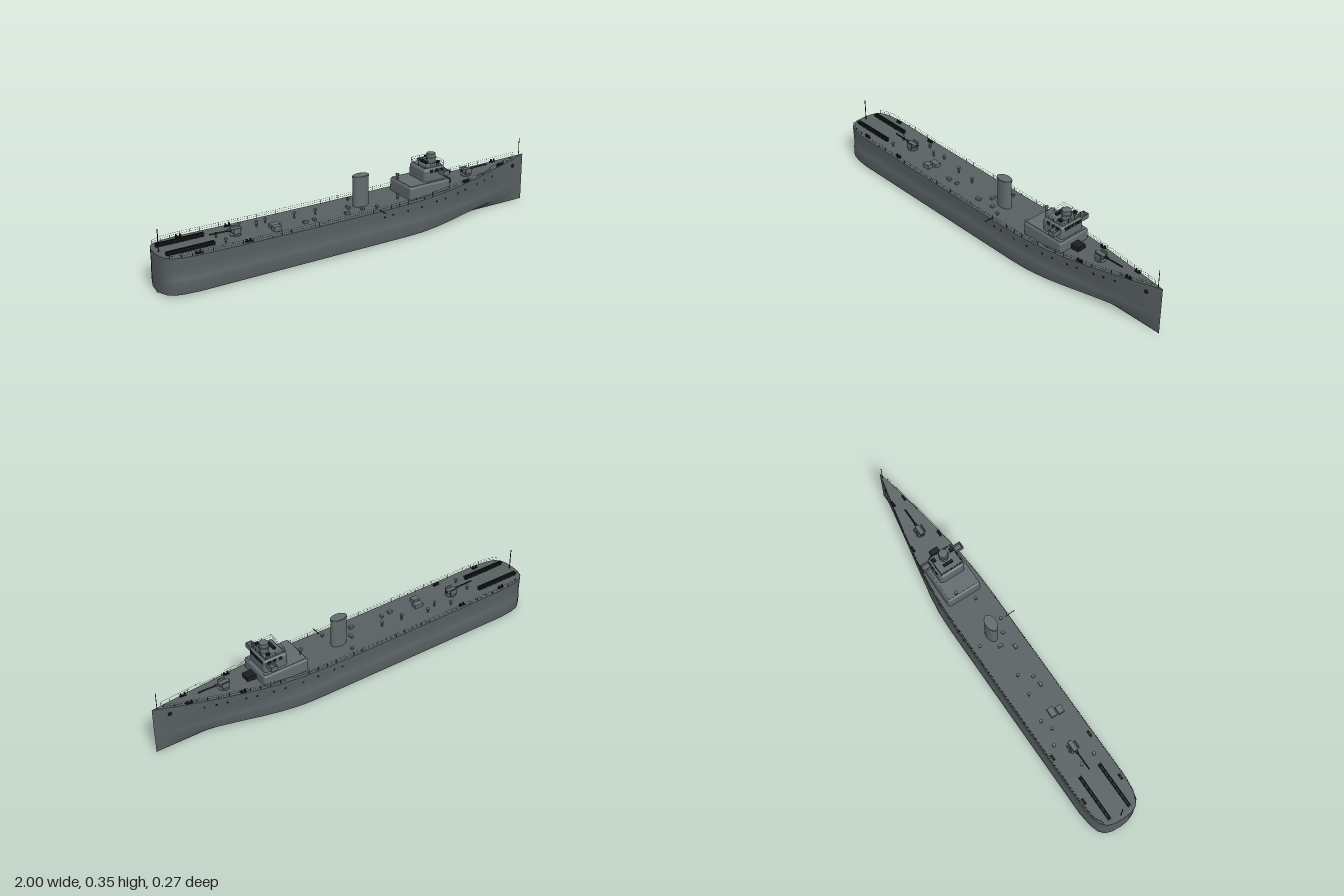
import * as THREE from 'three';
import { toCreasedNormals } from 'three/addons/utils/BufferGeometryUtils.js';
import { RoundedBoxGeometry } from 'three/addons/geometries/RoundedBoxGeometry.js';

const mat = (name, color) => Object.assign(new THREE.MeshStandardMaterial({ color }), { name });
const V = (x, y, z) => new THREE.Vector3(x, y, z);

// Linear lookup in a list of [x, value] pairs
function lookup(table, x) {
  for (let i = 1; i < table.length; i++) {
    const [x0, a] = table[i - 1], [x1, b] = table[i];
    if (x <= x1) return a + (b - a) * (x - x0) / (x1 - x0);
  }
  return table[table.length - 1][1];
}
const BEAM = [[-1, 0], [-0.997, 0.045], [-0.985, 0.078], [-0.96, 0.1], [-0.92, 0.112], [-0.85, 0.12], [0.2, 0.121],
  [0.32, 0.118], [0.42, 0.11], [0.52, 0.097], [0.62, 0.08], [0.72, 0.061], [0.82, 0.041], [0.92, 0.019], [1, 0]];
const SHEER = [[-1, 0.187], [-0.6, 0.18], [0, 0.175], [0.3, 0.179], [0.5, 0.189], [0.7, 0.206], [0.85, 0.222], [1, 0.24]];
const beam = x => lookup(BEAM, x);
const deckY = x => lookup(SHEER, x);

// Half section of the hull at x, from keel to deck edge, as [halfWidth, y]
function section(x) {
  const t = THREE.MathUtils.smoothstep(x, 0.25, 1), w = beam(x), d = deckY(x);
  const low = 1 - 0.45 * t, mid = 1 - 0.25 * t;
  return [[0, 0.002], [0.965 * w * low, 0.014 + 0.03 * t], [w * low, 0.03 + 0.025 * t], [w * mid, 0.072],
    [0.985 * w * mid, 0.085], [0.955 * w * mid, 0.096], [0.965 * w * (1 - 0.12 * t), 0.135], [0.985 * w, d]];
}
function hullHalfWidth(x, y) {
  return lookup(section(x).map(([w, h]) => [h, w]), y);
}
function hullGeometry() {
  const xs = BEAM.map(b => b[0]);
  for (let x = -0.7; x < 0.2; x += 0.15) xs.push(x);
  for (let x = 0.25; x < 1; x += 0.05) xs.push(x + 0.003);
  xs.sort((a, b) => a - b);
  const pos = [], idx = [];
  let n = 0;
  xs.forEach(x => {
    const half = section(x);
    const loop = [...half.slice(1).reverse().map(([w, y]) => [-w, y]), ...half];
    n = loop.length;
    loop.forEach(([z, y]) => pos.push(x, y, z));
  });
  for (let i = 0; i < xs.length - 1; i++) for (let j = 0; j < n; j++) {
    const a = i * n + j, d = i * n + (j + 1) % n, b = a + n, c = d + n;
    idx.push(a, b, c, a, c, d);
  }
  const g = new THREE.BufferGeometry();
  g.setAttribute('position', new THREE.Float32BufferAttribute(pos, 3));
  g.setIndex(idx);
  return toCreasedNormals(g, 0.6);
}

export function createModel() {
  const hullGray = mat('hull gray', 0x586062);
  const houseGray = mat('superstructure gray', 0x626b6e);
  const black = mat('dark fittings', 0x1b1e1f);
  const ship = new THREE.Group();
  ship.name = 'warship';
  ship.position.z = -0.016;

  const add = (name, geo, m, x = 0, y = 0, z = 0, parent = ship) => {
    const mesh = new THREE.Mesh(geo, m);
    mesh.name = name;
    mesh.position.set(x, y, z);
    parent.add(mesh);
    return mesh;
  };
  const box = (name, m, w, h, d, x, y, z, p) => add(name, new THREE.BoxGeometry(w, h, d), m, x, y + h / 2, z, p);
  const cyl = (name, m, r, h, x, y, z, p, seg = 16) => add(name, new THREE.CylinderGeometry(r, r, h, seg), m, x, y + h / 2, z, p);
  const rod = (name, m, a, b, r, p = ship, seg = 5) => {
    const dir = b.clone().sub(a), c = a.clone().add(b).multiplyScalar(0.5);
    const mesh = add(name, new THREE.CylinderGeometry(r, r, dir.length(), seg), m, c.x, c.y, c.z, p);
    mesh.quaternion.setFromUnitVectors(V(0, 1, 0), dir.normalize());
    return mesh;
  };
  // Posts at each point, with rails strung between them
  const railing = (name, pts, h, r, levels = [0.5, 1]) => {
    const g = new THREE.Group();
    g.name = name;
    ship.add(g);
    pts.forEach((p, i) => {
      rod('railPost', black, p, p.clone().setY(p.y + h), r, g, 4);
      if (i) levels.forEach(l => rod('rail', black, pts[i - 1].clone().setY(pts[i - 1].y + h * l), p.clone().setY(p.y + h * l), r * 0.6, g, 4));
    });
  };

  add('hull', hullGeometry(), hullGray);

  // Deck edge railings, portholes, hawse holes and bollards on both sides
  for (const s of [1, -1]) {
    const pts = [];
    for (let x = -0.97; x < 0.97; x += 0.048) pts.push(V(x, deckY(x), s * beam(x) * 0.96));
    railing(s > 0 ? 'leftRailing' : 'rightRailing', pts, 0.02, 0.0007);
    for (const x of [0.1, 0.145, 0.23, 0.31, 0.4, 0.455, 0.535, 0.585, 0.67, 0.72, 0.775]) {
      const y = deckY(x) - 0.034, w = hullHalfWidth(x, y);
      rod('porthole', black, V(x, y, s * (w - 0.004)), V(x, y, s * (w + 0.001)), 0.0055, ship, 10);
    }
    const hw = hullHalfWidth(0.925, 0.195);
    rod('hawseHole', black, V(0.925, 0.195, s * (hw - 0.006)), V(0.925, 0.195, s * (hw + 0.003)), 0.01, ship, 12);
    for (const [x, z] of [[-0.84, 0.1], [-0.6, 0.1], [0.595, 0.074], [0.835, 0.03]]) {
      box('bollardBase', black, 0.03, 0.004, 0.011, x, deckY(x), s * z);
      for (const o of [-0.009, 0.009]) cyl('bollard', black, 0.0045, 0.014, x + o, deckY(x), s * z, ship, 8);
    }
    // Stern launching racks
    for (const o of [-0.006, 0.006]) box('rackRail', black, 0.23, 0.008, 0.003, -0.855, 0.194, s * 0.053 + o);
    box('rackBed', black, 0.23, 0.005, 0.012, -0.855, 0.185, s * 0.053);
    for (let x = -0.96; x < -0.74; x += 0.03) box('rackFrame', black, 0.003, 0.018, 0.015, x, 0.184, s * 0.053);
  }

  // Funnel with a dark mouth
  const funnel = new THREE.Group();
  funnel.name = 'funnel';
  funnel.position.set(0.042, 0, -0.001);
  funnel.scale.z = 0.62;
  ship.add(funnel);
  cyl('funnelCasing', houseGray, 0.04, 0.155, 0, 0.17, 0, funnel, 32);
  cyl('funnelRim', houseGray, 0.043, 0.007, 0, 0.316, 0, funnel, 32);
  cyl('funnelMouth', black, 0.038, 0.002, 0, 0.322, 0, funnel, 32);

  // Deckhouse, bridge, wings and windows
  add('deckhouse', new RoundedBoxGeometry(0.232, 0.09, 0.176, 3, 0.012), houseGray, 0.377, 0.196, 0);
  box('deckhouseRoof', houseGray, 0.215, 0.003, 0.16, 0.377, 0.2395, 0);
  add('bridge', new RoundedBoxGeometry(0.122, 0.08, 0.134, 3, 0.016), houseGray, 0.417, 0.265, 0);
  box('bridgeRoof', houseGray, 0.1, 0.003, 0.11, 0.417, 0.304, 0);
  for (let i = -2; i <= 2; i++) box('frontWindow', black, 0.003, 0.015, 0.017, 0.4778, 0.282, i * 0.0205);
  for (const s of [1, -1]) {
    for (const x of [0.395, 0.425, 0.452]) box('sideWindow', black, 0.018, 0.015, 0.003, x, 0.282, s * 0.0665);
    box('bridgeWingFloor', houseGray, 0.032, 0.003, 0.046, 0.452, 0.272, s * 0.086);
    for (const x of [0.437, 0.467]) box('bridgeWingSide', houseGray, 0.003, 0.023, 0.046, x, 0.273, s * 0.086);
    box('bridgeWingEnd', houseGray, 0.032, 0.023, 0.003, 0.452, 0.273, s * 0.1075);
    cyl('lookoutPedestal', houseGray, 0.004, 0.017, 0.445, 0.305, s * 0.042, ship, 8);
    box('lookoutSight', black, 0.018, 0.009, 0.014, 0.445, 0.319, s * 0.046);
  }
  railing('bridgeRailing', [[0.365, 0.058], [0.415, 0.058], [0.468, 0.058], [0.468, 0.02], [0.468, -0.02], [0.468, -0.058],
    [0.415, -0.058], [0.365, -0.058], [0.365, 0], [0.365, 0.058]].map(([x, z]) => V(x, 0.305, z)), 0.024, 0.0009);

  // Director tower on the bridge roof
  cyl('directorTower', houseGray, 0.021, 0.05, 0.438, 0.305, 0.001, ship, 24);
  cyl('directorCollar', houseGray, 0.025, 0.006, 0.438, 0.33, 0.001, ship, 24);
  box('directorSight', black, 0.012, 0.01, 0.05, 0.398, 0.315, 0);

  // Ready-use platform in front of the deckhouse
  box('forwardPlatform', black, 0.045, 0.025, 0.045, 0.517, 0.188, 0.003);

  // Deck guns, the aft one pointing astern
  for (const [x, dir, name] of [[0.65, 1, 'forwardGun'], [-0.612, -1, 'aftGun']]) {
    const g = new THREE.Group();
    g.name = name;
    g.position.set(x, deckY(x) - 0.002, 0);
    if (dir < 0) g.rotation.y = Math.PI;
    ship.add(g);
    cyl('gunBase', houseGray, 0.026, 0.007, 0, 0, 0, g, 20);
    cyl('gunPedestal', houseGray, 0.012, 0.02, 0, 0.005, 0, g, 12);
    box('gunCradle', houseGray, 0.05, 0.016, 0.02, -0.002, 0.018, 0, g);
    for (const s of [1, -1]) box('gunShield', houseGray, 0.034, 0.026, 0.004, 0, 0.012, s * 0.02, g);
    rod('gunBreech', black, V(-0.03, 0.028, 0), V(0.04, 0.028, 0), 0.006, g, 10);
    rod('gunBarrel', black, V(0.03, 0.028, 0), V(0.125, 0.03, 0), 0.0035, g, 10);
  }

  // Mushroom vents
  for (const [x, z, h] of [[-0.49, -0.03, 0.025], [-0.435, -0.05, 0.02], [-0.56, -0.066, 0.02], [-0.3, -0.024, 0.028],
    [-0.195, -0.014, 0.025], [0.02, -0.078, 0.014], [0.08, 0.078, 0.014], [0.225, 0.035, 0.022], [-0.7, -0.014, 0.02], [-0.69, 0.06, 0.02]]) {
    cyl('ventStem', houseGray, 0.004, h, x, deckY(x), z, ship, 8);
    cyl('ventCap', houseGray, 0.008, 0.006, x, deckY(x) + h - 0.004, z, ship, 12);
  }
  cyl('tallVentStem', houseGray, 0.004, 0.026, 0.275, 0.24, -0.04, ship, 8);
  cyl('tallVentCap', houseGray, 0.009, 0.007, 0.275, 0.263, -0.04, ship, 12);

  // Hatches and lockers
  for (const [x, z, w, d, h] of [[-0.425, 0.016, 0.045, 0.028, 0.018], [-0.435, 0.052, 0.035, 0.028, 0.022], [-0.285, 0.05, 0.022, 0.014, 0.012],
    [-0.235, 0.045, 0.012, 0.018, 0.01], [-0.07, 0.058, 0.024, 0.014, 0.012], [-0.03, 0.003, 0.012, 0.026, 0.012], [0.018, 0.05, 0.014, 0.018, 0.01]])
    box('deckLocker', houseGray, w, h, d, x, deckY(x), z);

  // Flagstaffs and the boat boom on the left side
  rod('sternFlagstaff', black, V(-0.98, 0.185, 0), V(-0.98, 0.292, 0), 0.0022);
  rod('bowFlagstaff', black, V(0.975, 0.23, 0), V(0.975, 0.325, 0), 0.0016);
  rod('boatBoom', black, V(0.08, 0.177, 0.105), V(0.08, 0.177, 0.154), 0.002);
  return ship;
}
